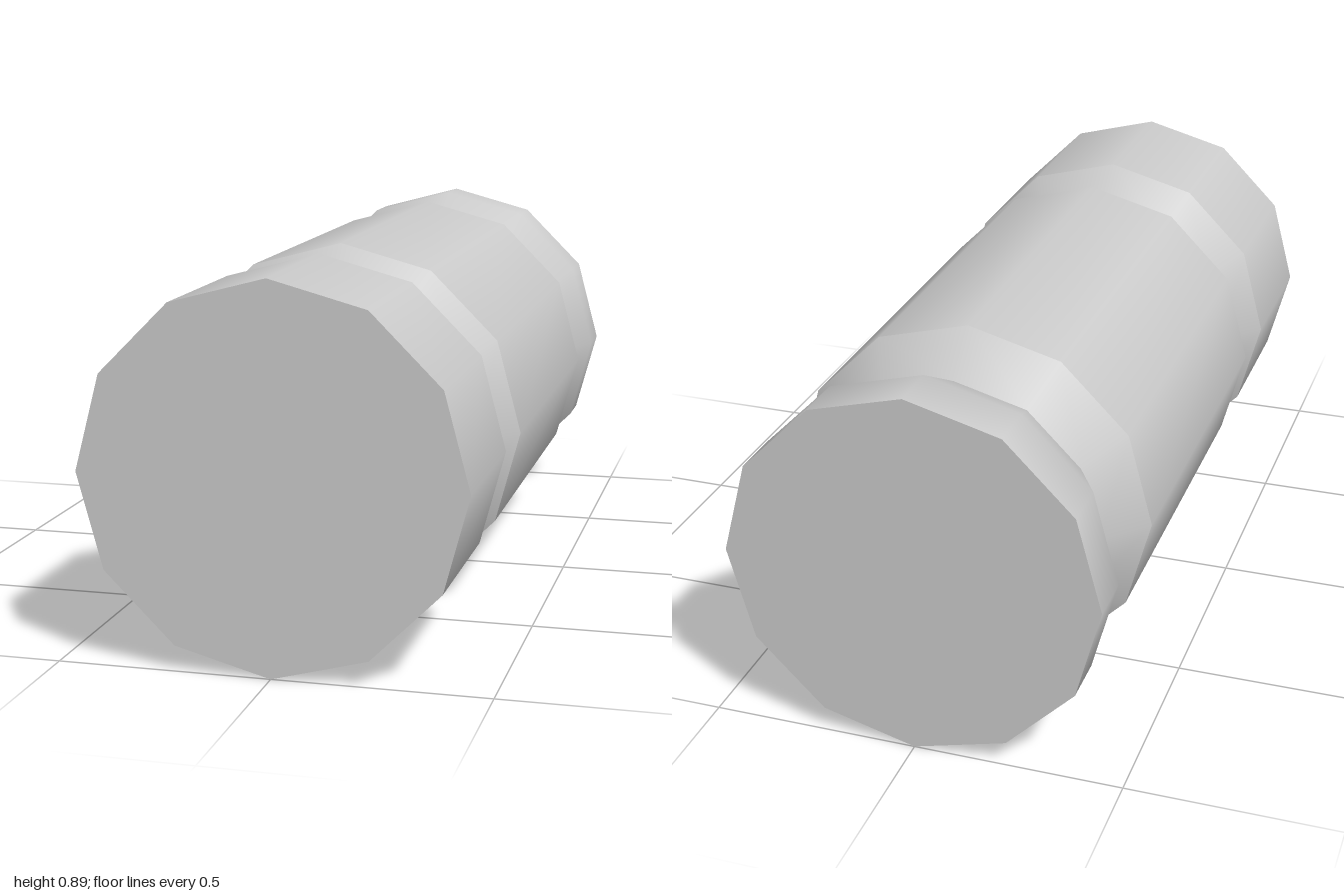
import * as THREE from 'three';

const SIDES = 12;
const R = 0.446; // outer radius
const GROOVE = 0.35; // radius at the bottom of each groove

export function createModel() {
  const group = new THREE.Group();
  group.name = 'groovedPin';
  const material = new THREE.MeshStandardMaterial({ color: 0xcccccc });

  const add = (name, geometry) => {
    const mesh = new THREE.Mesh(geometry, material);
    mesh.name = name;
    mesh.position.y = R;
    group.add(mesh);
  };

  // Each section is a [radius, z] profile running back to front, smooth inside, sharp between sections
  const sections = {
    flaredTail: [[R, -1], [R, -0.875], [GROOVE, -0.695]],
    rearGrooveSlope: [[GROOVE, -0.695], [R, -0.595]],
    mainBarrel: [[R, -0.595], [R, 0.388]],
    frontGrooveRearSlope: [[R, 0.388], [GROOVE, 0.487]],
    frontGrooveFrontSlope: [[GROOVE, 0.487], [R, 0.587]],
    frontCollar: [[R, 0.587], [R, 1]],
  };
  for (const [name, profile] of Object.entries(sections)) {
    const points = profile.map(([r, z]) => new THREE.Vector2(r, z));
    add(name, new THREE.LatheGeometry(points, SIDES).rotateX(Math.PI / 2));
  }

  // Flat end caps
  add('frontCap', new THREE.CircleGeometry(R, SIDES).translate(0, 0, 1));
  add('backCap', new THREE.CircleGeometry(R, SIDES).translate(0, 0, 1).rotateY(Math.PI));

  return group;
}
